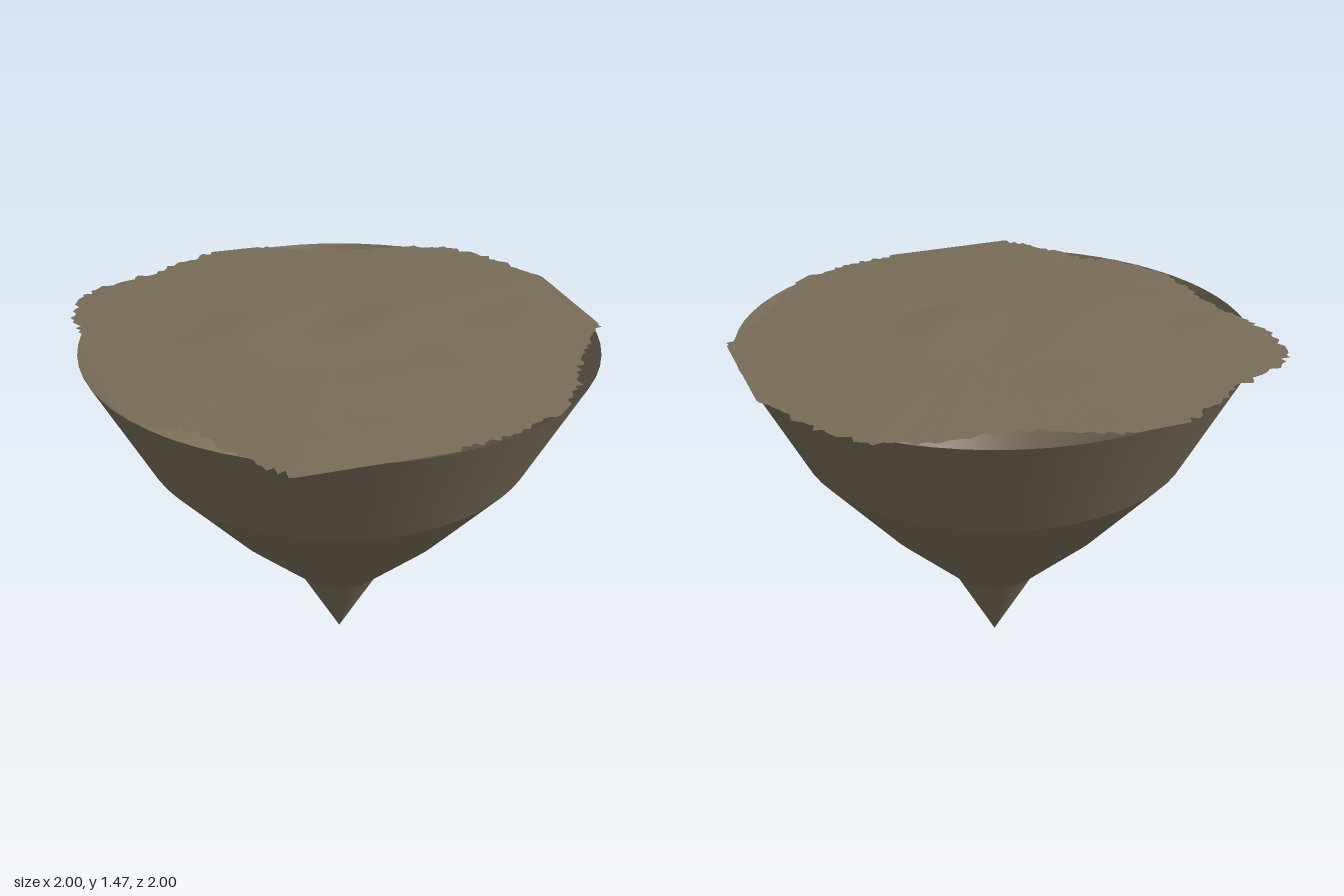
import * as THREE from 'three';

export function createModel() {
  const group = new THREE.Group();
  const earth = new THREE.MeshStandardMaterial({ color: 0x786c58, side: THREE.DoubleSide });
  earth.name = 'brown earth';

  // Rock underside: open conical bands with hard creases between them
  const profile = [[0, 0], [0.18, 0.335], [0.485, 0.64], [0.78, 0.99], [1, 1.43]];
  const rock = new THREE.Group();
  rock.name = 'rockUnderside';
  for (let i = 1; i < profile.length; i++) {
    const [r0, y0] = profile[i - 1], [r1, y1] = profile[i];
    const band = new THREE.Mesh(new THREE.CylinderGeometry(r1, r0, y1 - y0, 64, 1, true), earth);
    band.position.y = (y0 + y1) / 2;
    band.name = 'rockBand' + i;
    rock.add(band);
  }
  group.add(rock);

  // Coastline of the ground sheet (x, z)
  const coast = [
    [-0.27, -1], [-0.06, -1], [0.07, -0.93], [0.2, -0.86], [0.35, -0.83], [0.58, -0.81],
    [0.72, -0.75], [0.82, -0.66], [0.88, -0.56], [0.94, -0.42], [1, -0.29], [1, 0.24],
    [0.95, 0.27], [0.85, 0.41], [0.75, 0.55], [0.7, 0.66], [0.6, 0.78], [0.5, 0.87],
    [0.4, 0.92], [0.25, 0.96], [0.1, 0.99], [0.08, 1], [-0.45, 1], [-0.53, 0.9],
    [-0.6, 0.8], [-0.66, 0.7], [-0.68, 0.63], [-0.78, 0.57], [-0.85, 0.48], [-0.89, 0.4],
    [-0.93, 0.3], [-0.92, 0.1], [-0.92, -0.1], [-0.95, -0.25], [-0.98, -0.42],
    [-0.95, -0.55], [-0.88, -0.68], [-0.75, -0.77], [-0.58, -0.82], [-0.45, -0.91], [-0.35, -0.96],
  ];
  let seed = 7;
  const random = () => (seed = (seed * 16807) % 2147483647) / 2147483647;
  const clamp = (v) => Math.max(-1, Math.min(1, v));

  // Subdivide the coast and roughen it, leaving the straight cut sides clean
  const rim = [];
  coast.forEach(([x0, z0], i) => {
    const [x1, z1] = coast[(i + 1) % coast.length];
    const straight = (x0 === x1 && Math.abs(x0) === 1) || (z0 === z1 && Math.abs(z0) === 1);
    const steps = Math.max(1, Math.round(Math.hypot(x1 - x0, z1 - z0) / 0.022));
    for (let k = 0; k < steps; k++) {
      const t = k / steps, s = straight ? 1 : 1 + (random() - 0.5) * 0.035;
      rim.push([clamp((x0 + (x1 - x0) * t) * s), clamp((z0 + (z1 - z0) * t) * s)]);
    }
  });

  // Low hills with fine ridges, fading out towards the coast
  const hill = (x, z, cx, cz, w, h) => h * Math.exp(-((x - cx) ** 2 + (z - cz) ** 2) / (w * w));
  const height = (x, z, t) => {
    const ripple = 0.0015 * Math.sin(9 * x + 5 * z + 2 * Math.sin(6 * z))
      + 0.001 * Math.sin(17 * z - 11 * x + 2 * Math.sin(9 * x));
    const hills = 0.018 + hill(x, z, 0.2, 0.04, 0.17, 0.018) + hill(x, z, -0.32, -0.06, 0.22, 0.014)
      + hill(x, z, -0.5, 0.1, 0.3, 0.006) - hill(x, z, 0.2, 0.27, 0.07, 0.008);
    return 1.437 + (1 - t * t) * (hills + ripple);
  };

  // Ground sheet: rings shrinking from the coast to the middle
  const RINGS = 36, N = rim.length;
  const positions = [0, height(0, 0, 0), 0], index = [];
  for (let j = 1; j <= RINGS; j++) {
    const t = j / RINGS;
    rim.forEach(([x, z]) => positions.push(x * t, height(x * t, z * t, t), z * t));
  }
  for (let i = 0; i < N; i++) {
    const n = (i + 1) % N;
    index.push(0, 1 + n, 1 + i);
    for (let j = 0; j < RINGS - 1; j++) {
      const a = 1 + j * N, b = a + N;
      index.push(a + i, a + n, b + i, a + n, b + n, b + i);
    }
  }
  const geometry = new THREE.BufferGeometry();
  geometry.setAttribute('position', new THREE.Float32BufferAttribute(positions, 3));
  geometry.setIndex(index);
  geometry.computeVertexNormals();
  const ground = new THREE.Mesh(geometry, earth);
  ground.name = 'groundSheet';
  group.add(ground);

  return group;
}
